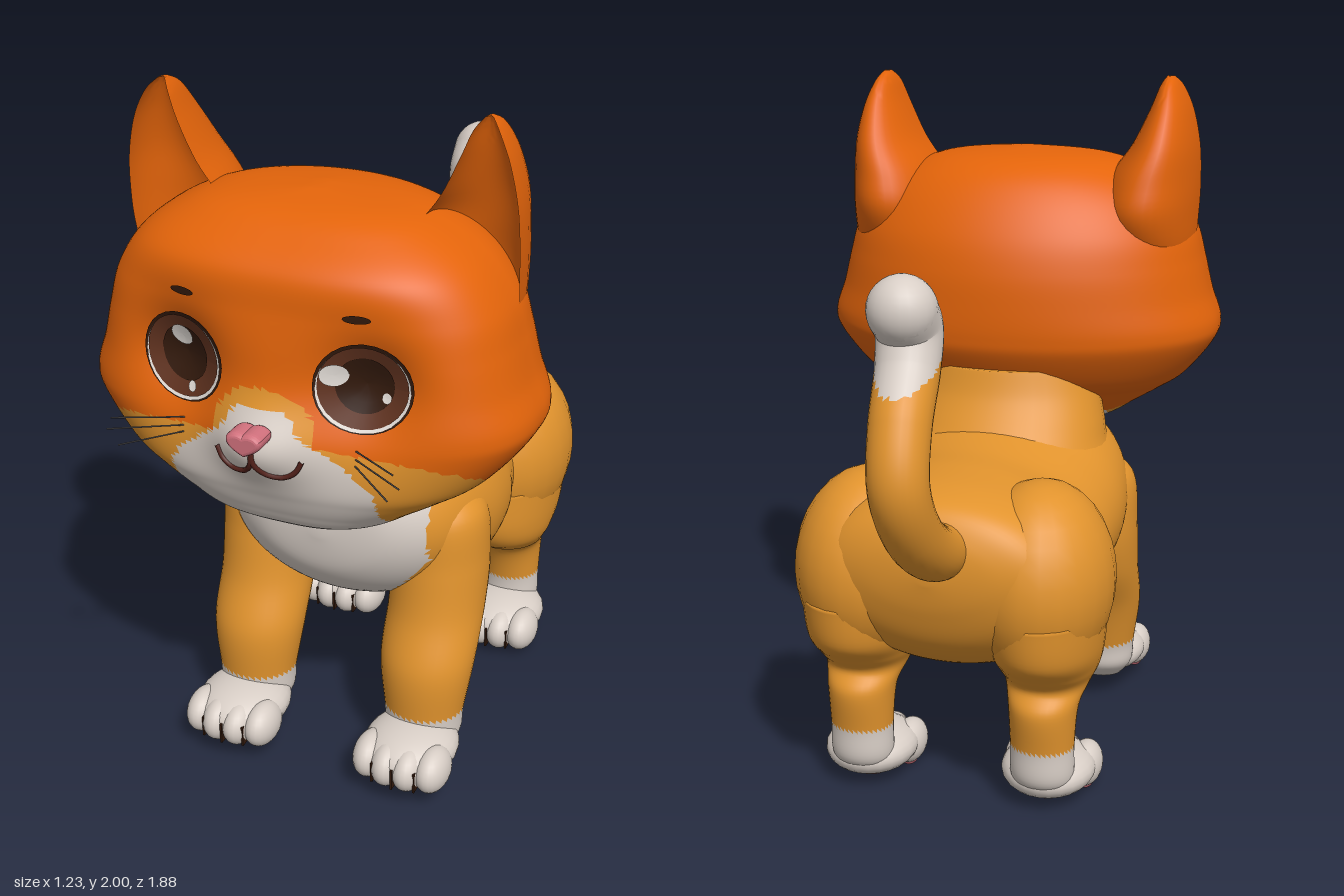
import * as THREE from 'three';
import { toCreasedNormals } from 'three/addons/utils/BufferGeometryUtils.js';

const V = (x, y, z) => new THREE.Vector3(x, y, z);

// Smoothly resample rows of numbers into n + 1 rows
function spline(rows, n) {
  const at = i => rows[Math.max(0, Math.min(rows.length - 1, i))];
  return Array.from({ length: n + 1 }, (_, k) => {
    const u = k / n * (rows.length - 1), i = Math.min(Math.floor(u), rows.length - 2), t = u - i;
    return rows[0].map((_, c) => {
      const [p, q, r, s] = [at(i - 1)[c], at(i)[c], at(i + 1)[c], at(i + 2)[c]];
      return 0.5 * (2 * q + (r - p) * t + (2 * p - 5 * q + 4 * r - s) * t * t + (3 * q - p - 3 * r + s) * t * t * t);
    });
  });
}

// Closed skin over rings; point(row, angle) gives each corner
function loft(rows, seg, point) {
  const pos = [], idx = [], n = rows.length;
  const rings = rows.map(r => Array.from({ length: seg }, (_, j) => point(r, j / seg * Math.PI * 2)));
  rings.flat().forEach(p => pos.push(p.x, p.y, p.z));
  for (let i = 0; i < n - 1; i++) for (let j = 0; j < seg; j++) {
    const a = i * seg + j, b = i * seg + (j + 1) % seg;
    idx.push(a, b, a + seg, b, b + seg, a + seg);
  }
  [0, n - 1].forEach((i, e) => {
    const c = rings[i].reduce((s, p) => s.add(p), V(0, 0, 0)).divideScalar(seg), k = pos.length / 3;
    pos.push(c.x, c.y, c.z);
    for (let j = 0; j < seg; j++) {
      const a = i * seg + j, b = i * seg + (j + 1) % seg;
      if (e) idx.push(a, b, k); else idx.push(b, a, k);
    }
  });
  // Turn the skin outward if its volume is negative
  const P = i => V(pos[3 * i], pos[3 * i + 1], pos[3 * i + 2]);
  let vol = 0;
  for (let i = 0; i < idx.length; i += 3) vol += P(idx[i]).dot(P(idx[i + 1]).cross(P(idx[i + 2])));
  if (vol < 0) idx.reverse();
  const g = new THREE.BufferGeometry();
  g.setAttribute('position', new THREE.Float32BufferAttribute(pos, 3));
  g.setIndex(idx);
  g.computeVertexNormals();
  return g;
}

// Upright limb from rows of height, centre z, half width, half depth
const column = (rows, n, x) => loft(spline(rows, n), 40,
  ([y, cz, w, d], a) => V(x + w * Math.cos(a), y, cz + d * Math.sin(a)));

// Sort faces into material groups by a rule on their centres
function paint(g, count, rule) {
  const p = g.attributes.position, ix = g.index.array, sets = Array.from({ length: count }, () => []);
  for (let i = 0; i < ix.length; i += 3) {
    const c = V(0, 0, 0);
    for (let k = 0; k < 3; k++) c.add(V(0, 0, 0).fromBufferAttribute(p, ix[i + k]));
    c.divideScalar(3);
    sets[rule(c.x, c.y, c.z)].push(ix[i], ix[i + 1], ix[i + 2]);
  }
  g.setIndex(sets.flat());
  g.clearGroups();
  let start = 0;
  sets.forEach((s, m) => { g.addGroup(start, s.length, m); start += s.length; });
  return g;
}

export function createModel() {
  const model = new THREE.Group();
  model.name = 'kitten';
  const mat = (name, color) => { const m = new THREE.MeshStandardMaterial({ color }); m.name = name; return m; };
  const orange = mat('orange fur', 0xe4640a), tan = mat('tan fur', 0xe1932d), white = mat('white fur', 0xd8cec6);
  const iris = mat('brown iris', 0x60321f), dark = mat('dark brown', 0x331a0d), mouthMat = mat('mouth brown', 0x52211a);
  const pink = mat('pink skin', 0xd0707c), grey = mat('whisker grey', 0x4c4848), shine = mat('eye white', 0xe6e0da);

  const add = (geo, m, name, parent = model) => {
    const mesh = new THREE.Mesh(geo, m);
    mesh.name = name;
    parent.add(mesh);
    return mesh;
  };
  const ball = (m, name, [x, y, z], [rx, ry, rz], parent) =>
    add(new THREE.SphereGeometry(1, 24, 16).scale(rx, ry, rz).translate(x, y, z), m, name, parent);

  // Head: rows of height, half width, front z, back z
  const headRows = spline([
    [0.885, 0.02, 0.5, 0.42], [0.9, 0.16, 0.66, 0.36], [0.95, 0.29, 0.755, 0.31], [1.0, 0.37, 0.79, 0.24],
    [1.05, 0.45, 0.81, 0.18], [1.1, 0.52, 0.82, 0.11], [1.2, 0.6, 0.82, 0.045], [1.26, 0.615, 0.82, 0.03],
    [1.35, 0.585, 0.82, 0.03], [1.45, 0.56, 0.815, 0.04], [1.55, 0.53, 0.8, 0.07], [1.65, 0.46, 0.78, 0.13],
    [1.72, 0.36, 0.7, 0.2], [1.76, 0.24, 0.62, 0.29], [1.78, 0.02, 0.5, 0.43]], 126);
  const headGeo = loft(headRows, 148, ([y, w, zf, zb], angle) => {
    // Spread the columns evenly across the boxy face
    const q = angle > Math.PI ? angle - 2 * Math.PI : angle, h = Math.PI / 2, front = Math.abs(q) < h;
    const a = front ? h * Math.sign(q) * Math.abs(q / h) ** 1.43 : q;
    const s = Math.sin(a), c = Math.cos(a), e = front ? 0.7 : 1;
    const x = w * Math.sign(s) * Math.abs(s) ** e;
    let z = 0.46 + (front ? zf - 0.46 : 0.46 - zb) * Math.sign(c) * Math.abs(c) ** e;
    if (front) {
      z += 0.075 * Math.exp(-((x / 0.13) ** 2) - ((y - 1.215) / 0.1) ** 2);                     // muzzle
      z -= 0.08 * Math.exp(-(((Math.abs(x) - 0.26) / 0.13) ** 2) - ((y - 1.385) / 0.13) ** 2);  // eye sockets
    }
    return V(x, y, z);
  });
  const muzzleEdge = y => y > 1.32 ? 0 : y > 1.25 ? 0.11 - (y - 1.25) * 0.6
    : y > 1.17 ? 0.11 + (1.25 - y) * 1.4 : Math.min(0.285, 0.222 + (1.17 - y));
  paint(headGeo, 3, (x, y, z) => {
    if (z > 0.36 && Math.abs(x) < muzzleEdge(y)) return 2;
    const arch = z > 0.6 && (x / 0.14) ** 2 + ((y - 1.25) / 0.115) ** 2 < 1;
    return arch || y < 1.02 + (z - 0.45) * 0.55 ? 1 : 0;
  });
  const head = add(headGeo, [orange, tan, white], 'head');
  head.updateMatrixWorld();

  // Height of the face surface at x, y
  const ray = new THREE.Raycaster();
  const faceZ = (x, y) => {
    ray.set(V(x, y, 2), V(0, 0, -1));
    const hit = ray.intersectObject(head)[0];
    return hit ? hit.point.z : 0.8;
  };
  // Thin oval laid on the face
  const patch = (m, name, x, y, rx, ry, lift) => {
    const g = new THREE.RingGeometry(0, 1, 28, 3).scale(rx, ry, 1).translate(x, y, 0), p = g.attributes.position;
    for (let i = 0; i < p.count; i++) p.setZ(i, faceZ(p.getX(i), p.getY(i)) + lift);
    g.computeVertexNormals();
    add(g, m, name);
  };

  // Ears: height, centre x, half width, front z, depth; the front is hollowed
  const earRows = spline([
    [1.38, 0.4, 0.09, 0.4, 0.04], [1.48, 0.4, 0.13, 0.45, 0.2], [1.6, 0.392, 0.147, 0.48, 0.295],
    [1.7, 0.404, 0.136, 0.49, 0.29], [1.8, 0.434, 0.099, 0.495, 0.255], [1.9, 0.447, 0.064, 0.495, 0.19],
    [1.97, 0.446, 0.034, 0.485, 0.115], [2.0, 0.444, 0.01, 0.46, 0.03]], 35);

  for (const s of [1, -1]) {
    const side = s > 0 ? 'left' : 'right';
    const ear = loft(earRows, 40, ([y, cx, w, zf, d], a) => {
      const k = Math.sin(a);
      return V(s * (cx + w * Math.cos(a)), y, zf - d * (k > 0 ? k : -k * 0.45));
    });
    add(toCreasedNormals(ear, 0.9), orange, side + 'Ear');

    // Eye layers and brow
    const ex = s * 0.247, ey = 1.385;
    patch(dark, side + 'EyeRim', ex, ey, 0.124, 0.118, 0.004);
    patch(shine, side + 'EyeWhite', ex, ey - 0.003, 0.117, 0.111, 0.007);
    patch(iris, side + 'Iris', ex, ey + 0.003, 0.112, 0.108, 0.01);
    patch(dark, side + 'Pupil', ex, ey + 0.005, 0.072, 0.074, 0.013);
    patch(shine, side + 'EyeShine', s > 0 ? 0.175 : -0.255, s > 0 ? 1.415 : 1.437, 0.033, 0.03, 0.016);
    patch(shine, side + 'EyeGlint', s > 0 ? 0.3 : -0.22, s > 0 ? 1.36 : 1.31, 0.013, 0.013, 0.016);
    patch(dark, side + 'Brow', s * 0.235, 1.57, 0.035, 0.011, 0.004);

    // Mouth curve
    const smile = [[0, 1.225], [0.004, 1.19], [0.03, 1.157], [0.07, 1.15], [0.1, 1.168], [0.117, 1.2]]
      .map(([x, y]) => V(s * x, y, faceZ(s * x, y) + 0.003));
    add(new THREE.TubeGeometry(new THREE.CatmullRomCurve3(smile), 30, 0.007, 8), mouthMat, side + 'Mouth');

    // Whiskers
    [[1.225, 0.385, 1.25], [1.205, 0.4, 1.215], [1.19, 0.37, 1.175]].forEach(([y0, x1, y1]) => {
      const path = new THREE.LineCurve3(V(s * 0.23, y0, faceZ(s * 0.23, y0) - 0.01), V(s * x1, y1, 0.91));
      add(new THREE.TubeGeometry(path, 1, 0.0022, 6), grey, side + 'Whisker');
    });
  }

  // Nose
  const heart = new THREE.Shape();
  heart.moveTo(0, -0.021);
  heart.quadraticCurveTo(0.04, -0.002, 0.036, 0.012);
  heart.quadraticCurveTo(0.022, 0.026, 0, 0.014);
  heart.quadraticCurveTo(-0.022, 0.026, -0.036, 0.012);
  heart.quadraticCurveTo(-0.04, -0.002, 0, -0.021);
  add(new THREE.ExtrudeGeometry(heart, { depth: 0.04, bevelSize: 0.012, bevelThickness: 0.018, bevelSegments: 4 })
    .translate(0, 1.262, 0.882), pink, 'nose');

  // Torso and neck share the white bib
  const bib = (x, y, z) => z > 0.3 && y > 0.5 && Math.abs(x) < 0.29 - Math.max(0, 0.7 - y) * 0.8 ? 1 : 0;
  const torsoRows = spline([
    [-0.62, 0.76, 0.02, 0.02], [-0.6, 0.755, 0.19, 0.11], [-0.55, 0.735, 0.315, 0.2], [-0.45, 0.705, 0.385, 0.26],
    [-0.3, 0.685, 0.39, 0.29], [-0.15, 0.695, 0.35, 0.283], [0, 0.71, 0.385, 0.295], [0.15, 0.735, 0.395, 0.32],
    [0.3, 0.77, 0.37, 0.3], [0.42, 0.78, 0.31, 0.235], [0.5, 0.79, 0.19, 0.14], [0.525, 0.79, 0.02, 0.02]], 80);
  const torso = loft(torsoRows, 80, ([z, cy, w, h], a) => V(w * Math.cos(a), cy + h * Math.sin(a), z));
  add(paint(torso, 2, (x, y, z) => y < 0.445 && z > -0.2 ? 1 : bib(x, y, z)), [tan, white], 'torso');
  const neck = column([
    [1.16, 0.24, 0.26, 0.19], [1.08, 0.235, 0.285, 0.215], [1.0, 0.22, 0.305, 0.255],
    [0.93, 0.2, 0.32, 0.29], [0.85, 0.18, 0.35, 0.32]], 48, 0);
  add(paint(neck, 2, bib), [tan, white], 'neck');

  // Legs
  const frontRows = [
    [0.88, 0.27, 0.04, 0.05], [0.8, 0.27, 0.125, 0.13], [0.65, 0.27, 0.14, 0.15], [0.5, 0.3, 0.14, 0.145],
    [0.35, 0.37, 0.138, 0.13], [0.2, 0.395, 0.118, 0.107], [0.12, 0.4, 0.11, 0.095], [0.06, 0.43, 0.07, 0.05]];
  const hindRows = [
    [0.62, -0.345, 0.17, 0.245], [0.5, -0.335, 0.16, 0.235], [0.43, -0.315, 0.145, 0.185],
    [0.38, -0.325, 0.122, 0.13], [0.32, -0.38, 0.1, 0.108], [0.2, -0.39, 0.092, 0.084],
    [0.1, -0.385, 0.09, 0.08], [0.04, -0.35, 0.06, 0.05]];

  const paw = (s, dy, dz, name) => {
    const g = new THREE.Group();
    g.name = name;
    g.position.set(s * 0.27, dy, dz);
    model.add(g);
    ball(white, 'foot', [0, 0.122, 0.495], [0.137, 0.072, 0.152], g);
    ball(pink, 'mainPad', [0, 0.062, 0.47], [0.06, 0.026, 0.048], g);
    [-0.095, -0.032, 0.032, 0.095].forEach((x, i) => {
      const z = i % 3 ? 0.582 : 0.565;
      ball(white, 'toe', [x, 0.108, z], [0.05, 0.066, 0.08], g);
      ball(pink, 'toePad', [x, 0.055, z - 0.012], [0.025, 0.02, 0.03], g);
    });
    [-0.064, 0, 0.064].forEach(x =>
      add(new THREE.BoxGeometry(0.006, 0.065, 0.03).translate(x, 0.1, x ? 0.627 : 0.638), dark, 'toeCrease', g));
  };

  for (const s of [1, -1]) {
    const side = s > 0 ? 'left' : 'right';
    const leg = (rows, name) =>
      add(paint(column(rows, 54, s * 0.27), 2, (x, y) => y < 0.2 ? 1 : 0), [tan, white], name);
    leg(frontRows, side + 'FrontLeg');
    leg(hindRows, side + 'HindLeg');
    ball(tan, side + 'Haunch', [s * 0.25, 0.685, -0.345], [0.21, 0.28, 0.255]);
    paw(s, 0, 0, side + 'FrontPaw');
    paw(s, -0.035, -0.8, side + 'HindPaw');
  }

  // Tail: a tube that swells toward its white, backward-curled tip
  const tailPath = new THREE.CatmullRomCurve3([
    V(-0.03, 0.81, -0.48), V(-0.03, 0.845, -0.64), V(-0.02, 0.95, -0.785), V(-0.01, 1.09, -0.857),
    V(0, 1.23, -0.81), V(0.01, 1.36, -0.71), V(0.015, 1.45, -0.68), V(0.018, 1.508, -0.724)]);
  const N = 80, tail = new THREE.TubeGeometry(tailPath, N, 1, 28), tp = tail.attributes.position;
  for (let i = 0; i < tp.count; i++) {
    const u = Math.floor(i / 29) / N, c = tailPath.getPointAt(u);
    const v = V(0, 0, 0).fromBufferAttribute(tp, i).sub(c).multiplyScalar(0.078 + 0.013 * u ** 4).add(c);
    tp.setXYZ(i, v.x, v.y, v.z);
  }
  add(paint(tail, 2, (x, y, z) => y - (z + 0.71) * 0.4 > 1.37 ? 1 : 0), [tan, white], 'tail');
  ball(white, 'tailTip', [0.018, 1.508, -0.724], [0.091, 0.091, 0.091]);

  return model;
}
